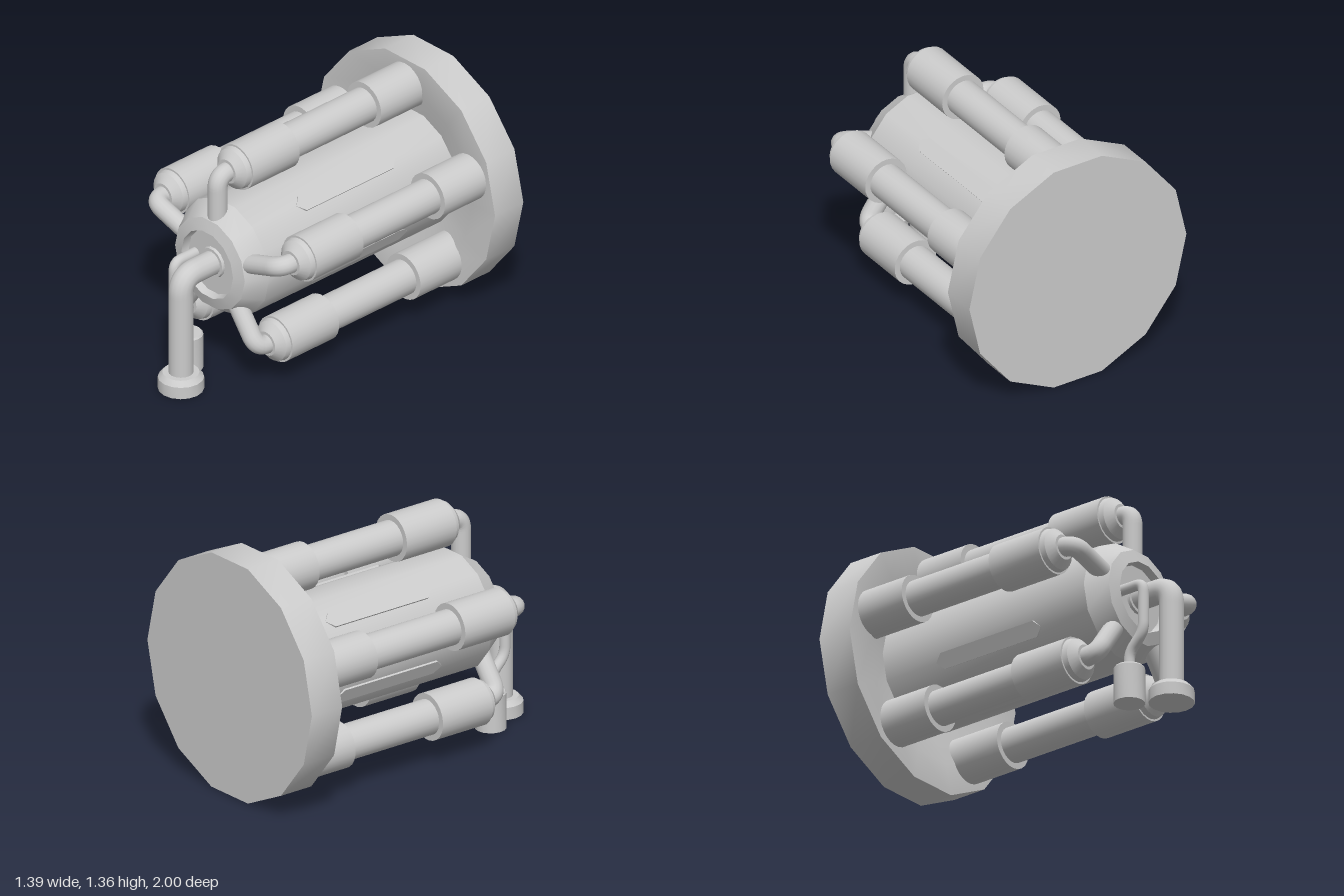
import * as THREE from 'three';
import { toCreasedNormals } from 'three/addons/utils/BufferGeometryUtils.js';

const material = new THREE.MeshStandardMaterial({ color: 0xcccccc });
const AXIS_Y = 0.685; // height of the main axis

function part(name, geometry, parent) {
  const mesh = new THREE.Mesh(toCreasedNormals(geometry, 0.49), material);
  mesh.name = name;
  parent.add(mesh);
  return mesh;
}

// Turned profile of [radius, height] pairs, standing along y
function turned(profile, sides) {
  return new THREE.LatheGeometry(profile.map(([r, h]) => new THREE.Vector2(r, h)), sides).rotateY(Math.PI / 2);
}

// The same, lying along z
const lying = (profile, sides) => turned(profile, sides).rotateX(Math.PI / 2);

// Round pipe along a polyline with rounded corners
function pipe(points, radius, bend) {
  const pts = points.map((p) => new THREE.Vector3(...p));
  const path = new THREE.CurvePath();
  let from = pts[0];
  for (let i = 1; i < pts.length - 1; i++) {
    const corner = pts[i];
    const a = corner.clone().add(pts[i - 1].clone().sub(corner).setLength(bend));
    const b = corner.clone().add(pts[i + 1].clone().sub(corner).setLength(bend));
    path.add(new THREE.LineCurve3(from, a));
    path.add(new THREE.QuadraticBezierCurve3(a, corner, b));
    from = b;
  }
  path.add(new THREE.LineCurve3(from, pts[pts.length - 1]));
  return new THREE.TubeGeometry(path, 60, radius, 16);
}

export function createModel() {
  const model = new THREE.Group();
  model.name = 'pipeManifold';

  // Everything arranged round the main axis
  const body = new THREE.Group();
  body.name = 'body';
  body.position.y = AXIS_Y;
  model.add(body);

  // Back plate with a shallow dish in its front
  part('backPlate', lying([[0, -1], [0.697, -1], [0.697, -0.79], [0.52, -0.79], [0.3, -0.87], [0, -0.87]], 14), body);

  // Central drum with a bevelled, recessed front
  part('drum', lying([
    [0.34, -0.9], [0.34, 0.545], [0.27, 0.66], [0.2, 0.68], [0.19, 0.635],
    [0.09, 0.635], [0.085, 0.65], [0, 0.65],
  ], 14), body);

  // Flat pointed panels along the drum
  const hex = new THREE.Shape([
    [0, -0.51], [0.045, -0.465], [0.045, 0.175], [0, 0.22], [-0.045, 0.175], [-0.045, -0.465],
  ].map(([x, y]) => new THREE.Vector2(x, y)));
  const toSide = new THREE.Matrix4().makeBasis(
    new THREE.Vector3(0, 1, 0), new THREE.Vector3(0, 0, 1), new THREE.Vector3(1, 0, 0));
  const step = Math.PI / 7;
  for (const k of [2, 5, 8, 10.5, 13]) {
    const panel = new THREE.ExtrudeGeometry(hex, { depth: 0.022, bevelEnabled: false });
    panel.applyMatrix4(toSide).translate(0.319, 0, 0);
    part('drumPanel', panel, body).rotation.z = k * step;
  }

  // Five canisters, each with an elbow pipe into the drum
  const reach = 0.52;
  for (let i = 0; i < 5; i++) {
    const unit = new THREE.Group();
    unit.name = 'canisterUnit';
    unit.rotation.z = Math.PI / 2 + (i * Math.PI * 2) / 5;
    body.add(unit);
    part('canister', lying([
      [0, -0.88], [0.133, -0.88], [0.133, -0.485], [0.1, -0.485], [0.1, 0.12], [0.133, 0.12],
      [0.133, 0.465], [0.122, 0.465], [0.115, 0.495], [0.07, 0.535], [0, 0.535],
    ], 24), unit).position.x = reach;
    part('elbowPipe', pipe([[reach, 0, 0.5], [reach, 0, 0.603], [0.23, 0, 0.603]], 0.054, 0.075), unit);
  }

  // Main outlet pipe and its foot
  part('outletPipe', pipe([[0, AXIS_Y, 0.62], [0, AXIS_Y, 0.875], [0, 0.03, 0.875]], 0.068, 0.1), model);
  part('outletFoot', turned([[0, 0], [0.125, 0], [0.125, 0.07], [0.1, 0.1], [0, 0.1]], 16), model)
    .position.z = 0.875;

  // Thin side pipe with its kink, and its foot
  const sideX = -0.138;
  part('sidePipe', pipe([
    [sideX, AXIS_Y, 0.62], [sideX, AXIS_Y, 0.793], [sideX, 0.4, 0.793], [sideX, 0.3, 0.695], [sideX, 0.19, 0.695],
  ], 0.03, 0.05), model);
  part('sideFoot', turned([[0, 0], [0.086, 0], [0.086, 0.205], [0.078, 0.215], [0, 0.215]], 16), model)
    .position.set(sideX, 0, 0.695);

  return model;
}
